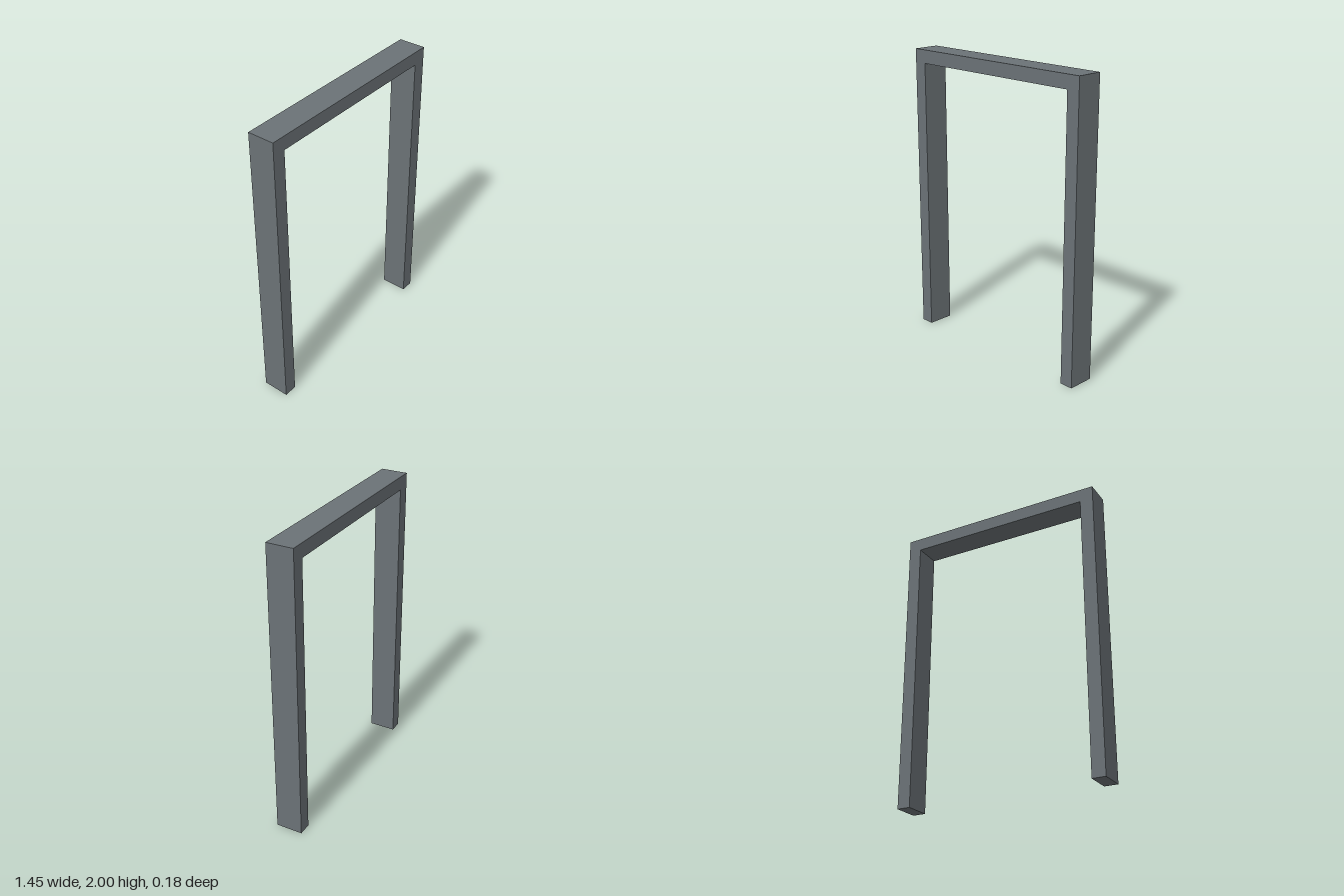
import * as THREE from 'three';

const HALF_WIDTH = 0.727;
const HEIGHT = 2;
const THICKNESS = 0.091;
const DEPTH = 0.182;

export function createModel() {
  const group = new THREE.Group();
  group.name = 'doorway';

  // Seamless frame outline: two posts joined by a lintel, open at the floor
  const inner = HALF_WIDTH - THICKNESS;
  const outline = new THREE.Shape([
    [-HALF_WIDTH, 0], [-inner, 0], [-inner, HEIGHT - THICKNESS], [inner, HEIGHT - THICKNESS],
    [inner, 0], [HALF_WIDTH, 0], [HALF_WIDTH, HEIGHT], [-HALF_WIDTH, HEIGHT],
  ].map(([x, y]) => new THREE.Vector2(x, y)));

  const geometry = new THREE.ExtrudeGeometry(outline, { depth: DEPTH, bevelEnabled: false });
  geometry.translate(0, 0, -DEPTH / 2);

  const frame = new THREE.Mesh(geometry, new THREE.MeshStandardMaterial({ color: 0x6b7276 }));
  frame.name = 'doorFrame';
  group.add(frame);
  return group;
}
